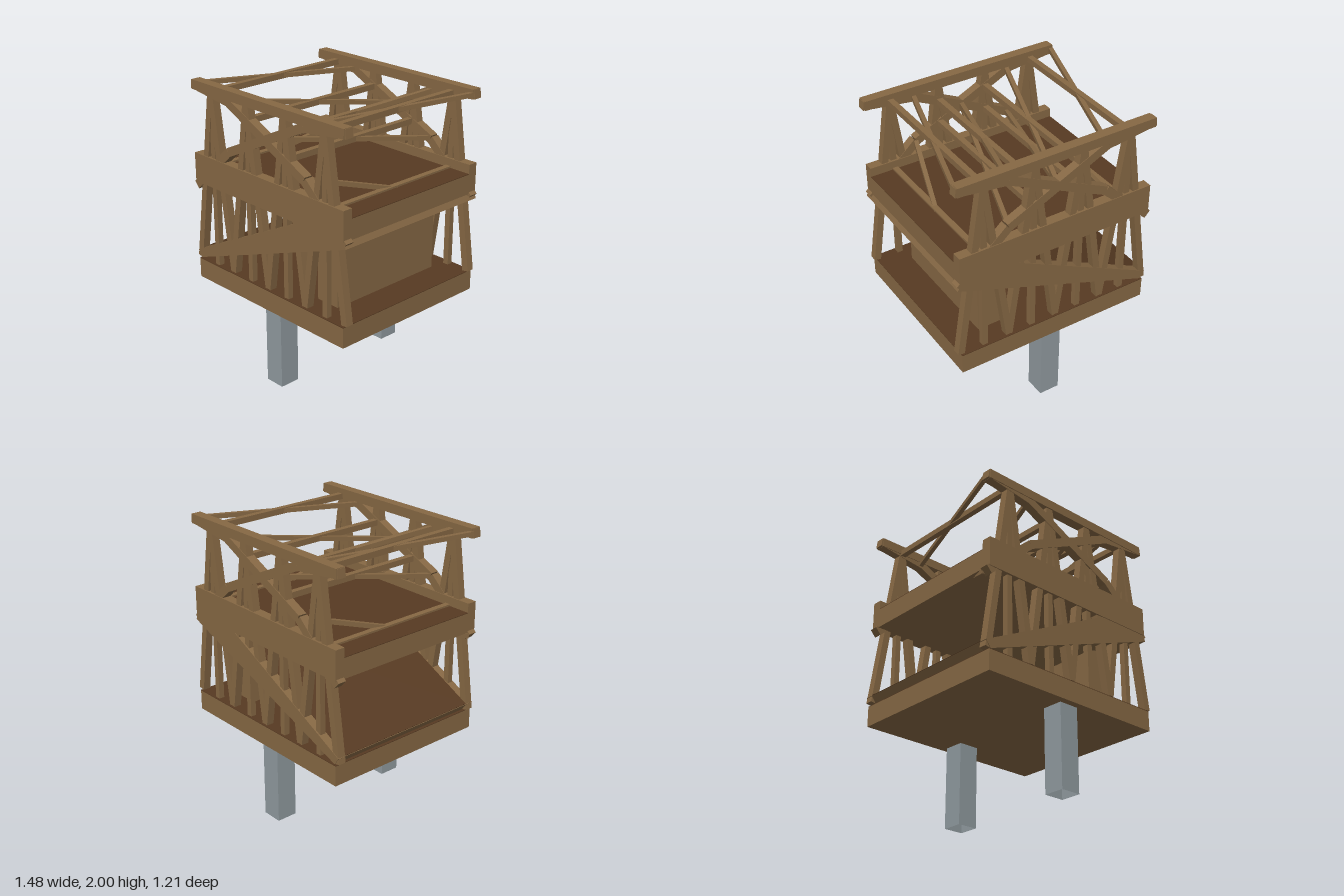
import * as THREE from 'three';

export function createModel() {
  const model = new THREE.Group();
  const wood = new THREE.MeshStandardMaterial({ color: 0x866844 });
  wood.name = 'wood';
  const deckBrown = new THREE.MeshStandardMaterial({ color: 0x573a22 });
  deckBrown.name = 'dark deck brown';
  const steel = new THREE.MeshStandardMaterial({ color: 0x909a9f, side: THREE.DoubleSide, flatShading: true });
  steel.name = 'steel grey';

  const V = (x, y, z) => new THREE.Vector3(x, y, z);
  const add = (name, geo, mat, x = 0, y = 0, z = 0) => {
    const m = new THREE.Mesh(geo, mat);
    m.name = name;
    m.position.set(x, y, z);
    model.add(m);
    return m;
  };
  // box given by its min and max corners
  const block = (name, mat, x0, x1, y0, y1, z0, z1) =>
    add(name, new THREE.BoxGeometry(x1 - x0, y1 - y0, z1 - z0), mat, (x0 + x1) / 2, (y0 + y1) / 2, (z0 + z1) / 2);
  // square-cut beam from a to b; depth runs along ref
  const beam = (name, a, b, width, depth, ref) => {
    const X = b.clone().sub(a);
    const len = X.length();
    X.normalize();
    const Y = ref.clone().cross(X).normalize();
    const Z = X.clone().cross(Y);
    const m = add(name, new THREE.BoxGeometry(len, width, depth), wood);
    m.quaternion.setFromRotationMatrix(new THREE.Matrix4().makeBasis(X, Y, Z));
    m.position.copy(a).add(b).multiplyScalar(0.5);
  };
  const zAxis = V(0, 0, 1), yAxis = V(0, 1, 0);

  // hollow legs, open at the bottom
  for (const s of [1, -1]) {
    const r = 0.0735 * Math.SQRT2;
    add('leg', new THREE.CylinderGeometry(r, r, 0.58, 4, 1, true).rotateY(Math.PI / 4), steel, 0, 0.29, s * 0.4825);
  }

  // decks with dark boards on top
  block('lowerDeck', wood, -0.715, 0.715, 0.576, 0.717, -0.605, 0.605);
  block('lowerDeckTop', deckBrown, -0.715, 0.715, 0.717, 0.721, -0.605, 0.605);
  block('upperDeck', wood, -0.715, 0.715, 1.29, 1.428, -0.536, 0.536);
  block('upperDeckTop', deckBrown, -0.715, 0.715, 1.428, 1.432, -0.536, 0.536);

  // cabinet under the ramp
  block('cabinet', wood, 0.32, 0.5, 0.72, 1.13, -0.445, 0.445);
  block('cabinetTop', wood, 0.32, 0.53, 1.13, 1.19, -0.5, 0.5);

  // ramp between the decks
  const rampShape = new THREE.Shape([
    [-0.70, 0.725], [0.73, 1.25], [0.71, 1.29], [0.3, 1.29], [-0.735, 0.775],
  ].map(([x, y]) => new THREE.Vector2(x, y)));
  const rampGeo = new THREE.ExtrudeGeometry(rampShape, { depth: 1.2, bevelEnabled: false });
  rampGeo.translate(0, 0, -0.6);
  add('ramp', rampGeo, wood);
  const slope = Math.atan2(0.515, 1.035);
  const top = add('rampTop', new THREE.BoxGeometry(1.15, 0.006, 1.08), deckBrown, -0.2175, 1.0335, 0);
  top.rotation.z = slope;

  // side frames
  const posts = [-0.535, -0.18, 0.175, 0.535];
  const feet = [-0.715, -0.357, 0, 0.357, 0.715];
  const bracePath = [[-0.725, 1.968], [-0.36, 1.922], [0.36, 1.582], [0.715, 1.262]];
  for (const s of [1, -1]) {
    const z = s * 0.57;
    block('sideBoard', wood, -0.715, 0.715, 1.29, 1.495, z - 0.035, z + 0.035);
    block('topRail', wood, -0.715, 0.715, 1.935, 2, z - 0.035, z + 0.035);
    posts.forEach((x, i) => {
      block('post', wood, x - 0.02, x + 0.02, 0.72, 1.95, z - 0.02, z + 0.02);
      for (const foot of [feet[i], feet[i + 1]])
        beam('slantedPost', V(foot, 0.73, z), V(x, 1.95, z), 0.048, 0.054, zAxis);
    });
    // crossing braces, each in three bent lengths
    for (const m of [1, -1])
      for (let i = 0; i < 3; i++) {
        const [a, b] = [bracePath[i], bracePath[i + 1]];
        beam('crossBrace', V(m * a[0], a[1], z), V(m * b[0], b[1], z), 0.06, 0.06, zAxis);
      }
  }

  // height of a brace at a given x
  const braceY = (x) => {
    let i = 0;
    while (i < 2 && x > bracePath[i + 1][0]) i++;
    const [a, b] = [bracePath[i], bracePath[i + 1]];
    return a[1] + (b[1] - a[1]) * (x - a[0]) / (b[0] - a[0]);
  };

  // joists and slanted ties spanning between the frames along both braces
  for (const m of [1, -1])
    posts.forEach((x, i) => {
      const y = braceY(m * x);
      beam('joist', V(x, y, 0.55), V(x, y, -0.55), 0.04, 0.04, yAxis);
      const x0 = feet[i] + 0.005, x1 = feet[i + 1] - 0.01;
      beam('slantedTie', V(x0, braceY(m * x0), 0.55), V(x1, braceY(m * x1), -0.55), 0.03, 0.03, yAxis);
    });

  return model;
}
